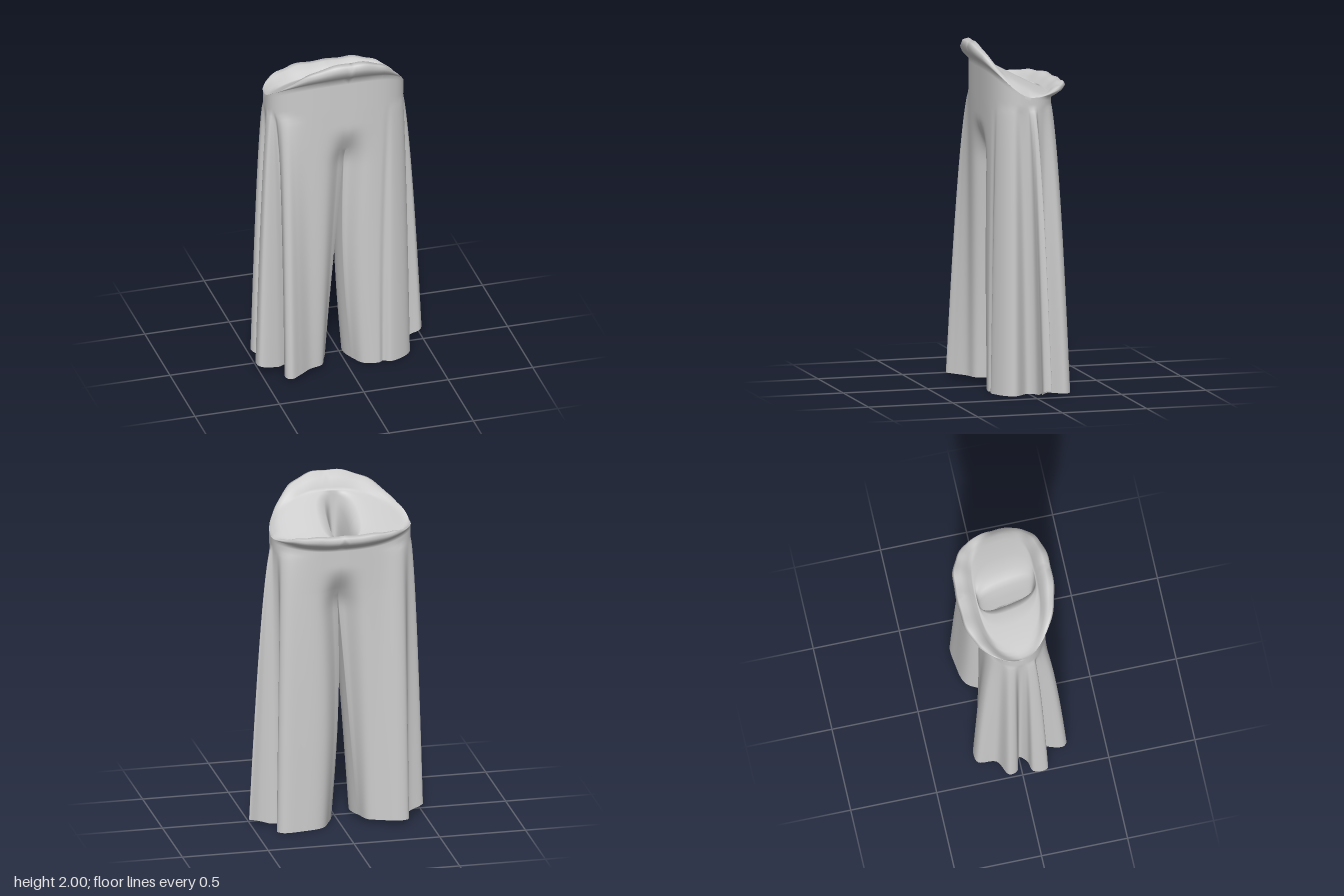
import * as THREE from 'three';
import { mergeVertices, mergeGeometries } from 'three/addons/utils/BufferGeometryUtils.js';

const CROTCH = 1.4, HIP = 1.65, N = 140, INNER = 20, LEG_ROWS = 36, TRUNK_ROWS = 16;

// Hem outlines from inner front, round the outside, to inner back:
// [distance from middle, z, matching share of the half turn at the hip]
const LEFT = {
  side: 1, rx: 0.37, hem: 0.0, flare: 0.04, lean: -0.03, low: 0.03,
  outline: [
    [0.05, 0.1, 0], [0.09, 0.17, 0.06], [0.18, 0.195, 0.15], [0.21, 0.18, 0.19], [0.25, 0.2, 0.23],
    [0.36, 0.15, 0.31], [0.39, 0.09, 0.38], [0.33, 0.01, 0.43], [0.36, -0.035, 0.48], [0.44, -0.045, 0.495],
    [0.495, -0.045, 0.505], [0.515, -0.085, 0.515], [0.45, -0.065, 0.53], [0.36, -0.07, 0.55],
    [0.32, -0.11, 0.6], [0.38, -0.2, 0.68], [0.35, -0.24, 0.73], [0.24, -0.235, 0.8],
    [0.11, -0.2, 0.92], [0.05, -0.1, 1],
  ],
};
const RIGHT = {
  side: -1, rx: 0.44, hem: 0.025, flare: 0.03, lean: 0, low: 0,
  outline: [
    [0.12, 0.1, 0], [0.15, 0.17, 0.06], [0.23, 0.2, 0.16], [0.3, 0.25, 0.23], [0.36, 0.285, 0.27],
    [0.39, 0.26, 0.3], [0.37, 0.17, 0.34], [0.32, 0.09, 0.37], [0.4, 0.13, 0.39], [0.51, 0.145, 0.41],
    [0.51, 0.06, 0.45], [0.44, 0.04, 0.48], [0.4, 0, 0.5], [0.49, -0.03, 0.54], [0.5, -0.08, 0.58],
    [0.4, -0.13, 0.64], [0.38, -0.235, 0.72], [0.32, -0.25, 0.77], [0.22, -0.215, 0.85],
    [0.15, -0.18, 0.94], [0.12, -0.1, 1],
  ],
};

// Waist rows: [x scale, z scale, roll outward, roll upward, share of roof height, drop, shift to the slit]
const WAIST = [
  [1, 1, 0.45, 0.23, 0, 0, 0],
  [0.99, 1, 0.8, 0.42, 0.12, 0, 0],
  [0.98, 1, 1, 0.68, 0.28, 0, 0],
  [0.96, 0.99, 0.9, 0.9, 0.45, 0, 0],
  [0.93, 0.97, 0.55, 1, 0.65, 0, 0],
  [0.9, 0.95, 0.2, 0.85, 0.82, 0, 0],
  [0.85, 0.92, 0, 0.5, 0.95, 0, 0],
  [0.75, 0.9, 0, 0, 1, 0, 0],
  [0.5, 0.88, 0, 0, 1, 0, 0.3],
  [0.3, 0.87, 0, 0, 1, 0.005, 0.6],
  [0.19, 0.86, 0, 0, 1, 0.025, 1],
  [0.13, 0.83, 0, 0, 1, 0.09, 1],
  [0.09, 0.78, 0, 0, 1, 0.19, 1],
  [0.06, 0.72, 0, 0, 1, 0.3, 1],
];

const { lerp, smoothstep, clamp } = THREE.MathUtils;

// Half oval at hip height
function hip(leg, a) {
  const c = Math.cos(Math.PI * a), s = Math.max(0, Math.sin(Math.PI * a));
  const z = Math.sign(c) * Math.pow(Math.abs(c), 0.75) * (c > 0 ? 0.2 : 0.185);
  return { x: a <= 0 || a >= 1 ? 0 : leg.rx * Math.pow(s, 0.75), z, c };
}

// Point on the draped cloth: folds fade from the hem up to the hip
function drape(leg, p, y) {
  const a = clamp(p.z, 0, 1), h = hip(leg, a);
  const gap = Math.max(0, (CROTCH - y) / CROTCH);
  const fold = Math.pow(clamp((HIP - y) / HIP, 0, 1), 0.6);
  const outer = smoothstep(Math.min(a, 1 - a), 0, 0.25);
  const k = lerp(gap, fold, outer);
  const x = lerp(h.x, p.x, k) + leg.lean * Math.sin(Math.PI * gap) * (1 - outer);
  // The cloth rounds inward between the legs
  const dent = (h.c > 0 ? 0.45 : 0.6) * Math.exp(-((h.x / 0.08) ** 2)) * (1 - smoothstep(y, 1.28, 1.56));
  return [leg.side * x, y, lerp(h.z * (1 - dent), p.y, k)];
}

// Height of the cloth where it turns in at the waist: high in front, level behind
const shoulder = (leg, c) => 1.74 + (c > 0 ? 0.13 * c : -0.07 * c * c) - leg.low * (1 - c * c) ** 2;

function waistPoint(leg, a, [sx, sz, out, up, roof, drop, shift]) {
  const h = hip(leg, a), front = h.c > 0;
  const roll = Math.abs(h.c) ** (front ? 2.5 : 1.5);
  const wrinkle = 1 + 0.04 * Math.sin(a * Math.PI * 14);
  const x = leg.side * h.x * sx - 0.03 * shift;
  const z = h.z * sz + Math.sign(h.c) * roll * out * wrinkle * (front ? 0.07 : 0.095);
  const rim = shoulder(leg, h.c) + roll * up * wrinkle * (front ? 0.13 : 0.1);
  const top = 1.805 + 0.52 * z - 0.08 * (x / 0.42) ** 2 - drop;
  return [x, lerp(rim, top, Math.pow(roof, 1 + 5 * roll)), z];
}

// Skin a grid of points, rows running upward
function sheet(rows, flip) {
  const w = rows[0].length, index = [];
  for (let r = 0; r < rows.length - 1; r++) {
    for (let i = 0; i < w - 1; i++) {
      const a = r * w + i, b = a + 1, c = b + w, d = a + w;
      index.push(...(flip ? [a, c, b, a, d, c] : [a, b, c, a, c, d]));
    }
  }
  const g = new THREE.BufferGeometry();
  g.setAttribute('position', new THREE.Float32BufferAttribute(rows.flat(2), 3));
  g.setIndex(index);
  return g;
}

function halfTrousers(leg) {
  const curve = new THREE.CatmullRomCurve3(leg.outline.map((p) => new THREE.Vector3(...p)));
  const pts = curve.getPoints(N);
  const hemY = (x) => leg.hem + leg.flare * clamp((x - 0.39) / 0.12, 0, 1);
  const outer = [], inner = [];

  // Leg, with its inside wall up to the crotch
  for (let r = 0; r <= LEG_ROWS; r++) {
    const v = r / LEG_ROWS;
    const row = pts.map((p) => drape(leg, p, lerp(hemY(p.x), CROTCH, v)));
    outer.push(row);
    const front = row[0], back = row[N], wall = [];
    for (let i = 0; i <= INNER; i++) {
      const t = i / INNER;
      const bulge = 0.03 * (1 - v) * Math.sin(Math.PI * t);
      wall.push([lerp(back[0], front[0], t) - leg.side * bulge, back[1], lerp(back[2], front[2], t)]);
    }
    inner.push(wall);
  }
  // Seat and hips
  for (let r = 1; r <= TRUNK_ROWS; r++) {
    outer.push(pts.map((p) => {
      const c = hip(leg, clamp(p.z, 0, 1)).c;
      return drape(leg, p, lerp(CROTCH, shoulder(leg, c), r / TRUNK_ROWS));
    }));
  }
  // Rolled waist, gathered inward to a narrow opening
  for (const w of WAIST) outer.push(pts.map((p) => waistPoint(leg, clamp(p.z, 0, 1), w)));

  const flip = leg.side < 0;
  return [sheet(outer, flip), sheet(inner, flip)];
}

export function createModel() {
  const group = new THREE.Group();
  group.name = 'wideLegTrousers';
  const cloth = mergeVertices(mergeGeometries([...halfTrousers(LEFT), ...halfTrousers(RIGHT)]), 1e-4);
  cloth.computeVertexNormals();
  const mesh = new THREE.Mesh(cloth, new THREE.MeshStandardMaterial({ color: 0xcccccc, side: THREE.DoubleSide }));
  mesh.name = 'trouserCloth';
  group.add(mesh);
  return group;
}
